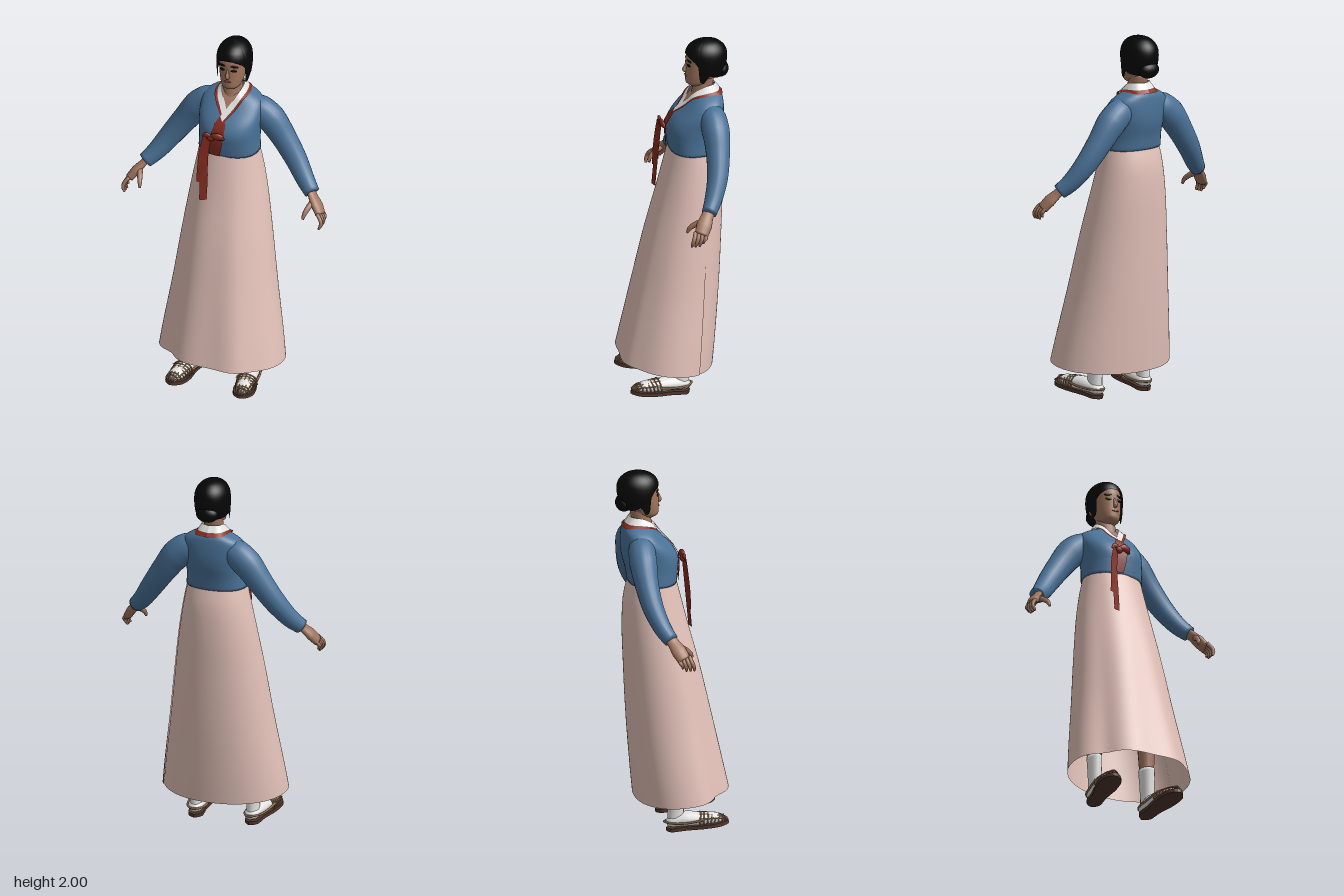
import * as THREE from 'three';

const V = (x, y, z) => new THREE.Vector3(x, y, z);
const mat = (name, color, side = THREE.FrontSide) => {
  const m = new THREE.MeshStandardMaterial({ color, side });
  m.name = name;
  return m;
};

export function createModel() {
  const two = THREE.DoubleSide;
  const blue = mat('blue cloth', 0x4a7298, two), pink = mat('pink cloth', 0xe2c1b8, two);
  const red = mat('red ribbon', 0x852b1f, two), white = mat('white cloth', 0xe2e2e1, two);
  const black = mat('black hair', 0x060606, two), skin = mat('skin', 0xa0755e);
  const sole = mat('sole brown', 0x4f362c), straw = mat('straw', 0x97704f), lip = mat('lips', 0x8d584a);
  const model = new THREE.Group();

  const add = (name, geo, material, parent = model) => {
    const mesh = new THREE.Mesh(geo, material);
    mesh.name = name;
    parent.add(mesh);
    return mesh;
  };

  // Skin a list of point rows; closed rows wrap around and can be capped
  const loft = (rows, closed = true, capped = false) => {
    const n = rows[0].length, pts = rows.flat(), idx = [];
    for (let i = 0; i < rows.length - 1; i++)
      for (let j = 0; j < (closed ? n : n - 1); j++) {
        const a = i * n + j, b = i * n + (j + 1) % n;
        idx.push(a, b, a + n, b, b + n, a + n);
      }
    if (capped) [0, rows.length - 1].forEach((r, end) => {
      const c = pts.length;
      pts.push(rows[r].reduce((s, p) => s.add(p), V(0, 0, 0)).divideScalar(n));
      for (let j = 0; j < n; j++) {
        const a = r * n + j, b = r * n + (j + 1) % n;
        idx.push(...(end ? [a, b, c] : [b, a, c]));
      }
    });
    const g = new THREE.BufferGeometry().setFromPoints(pts);
    g.setIndex(idx);
    g.computeVertexNormals();
    return g;
  };

  // Body profile: rows of [y, half width, front z, back z]
  const profile = (rows, p = 1) => {
    const spline = new THREE.CubicInterpolant(rows.map(r => r[0]), rows.flatMap(r => r.slice(1)), 3);
    const pw = v => Math.sign(v) * Math.abs(v) ** p;
    const at = (y, a, k = 1) => {
      const [w, f, b] = spline.evaluate(y);
      return V(w * k * pw(Math.sin(a)), y, (f + b) / 2 + k * (f - b) / 2 * pw(Math.cos(a)));
    };
    const front = (x, y, lift = 0) => {
      const [w, f, b] = spline.evaluate(y);
      const s = Math.max(0, 1 - (Math.abs(x) / w) ** (2 / p));
      return V(x, y, (f + b) / 2 + (f - b) / 2 * s ** (p / 2) + lift);
    };
    const y0 = rows[0][0], y1 = rows[rows.length - 1][0];
    const solid = (n = 24, seg = 40) => loft(Array.from({ length: n + 1 }, (_, i) =>
      Array.from({ length: seg }, (_, j) => at(y0 + (y1 - y0) * i / n, j / seg * Math.PI * 2))), true, true);
    return { at, front, solid };
  };

  // Tapered limb through [x, y, z, radius] points, squashed by sx and sb
  const limb = (points, sx = 1, sb = 1, seg = 16, steps = 5) => {
    const curve = new THREE.CatmullRomCurve3(points.map(p => V(p[0], p[1], p[2])));
    const last = points.length - 1, n = last * steps;
    const dir = V(...points[last]).sub(V(...points[0])).normalize();
    const ref = Math.abs(dir.z) > 0.8 ? V(0, 1, 0) : V(0, 0, 1);
    return loft(Array.from({ length: n + 1 }, (_, i) => {
      const c = curve.getPoint(i / n), T = curve.getTangent(i / n);
      const S = ref.clone().cross(T).normalize(), B = S.clone().cross(T);
      const k = Math.min(Math.floor(i / steps), last - 1);
      const r = THREE.MathUtils.lerp(points[k][3], points[k + 1][3], i / steps - k);
      return Array.from({ length: seg }, (_, j) => {
        const a = j / seg * Math.PI * 2;
        return c.clone().addScaledVector(S, Math.sin(a) * r * sx).addScaledVector(B, Math.cos(a) * r * sb);
      });
    }), true, true);
  };
  const tube = (pts, r) => new THREE.TubeGeometry(new THREE.CatmullRomCurve3(pts.map(p => V(...p))), 20, r, 6);

  // Jacket body
  const torso = profile([[1.38, .167, .01, -.25], [1.45, .163, .018, -.262], [1.52, .166, .018, -.28],
    [1.57, .172, -.01, -.285], [1.62, .172, -.058, -.284], [1.655, .16, -.092, -.281], [1.685, .12, -.118, -.276],
    [1.71, .065, -.14, -.26]], .85);
  add('jacket', torso.solid(), blue);

  // Wrapped skirt: the front panel laps over the back one at the left side
  const skirt = profile([[.15, .354, .31, -.218], [.3, .333, .276, -.232], [.6, .285, .207, -.255],
    [.9, .243, .136, -.27], [1.15, .205, .068, -.277], [1.3, .178, .03, -.268], [1.4, .158, .004, -.243]], .95);
  const bump = (a, c, w) => Math.exp(-(((a - c) / w) ** 2));
  const skirtRows = [];
  for (let i = 0; i <= 30; i++) {
    const t = 1 - i / 30, row = [];
    for (let j = 0; j <= 90; j++) {
      const a = 1.87 + .19 * t - (Math.PI * 2 + .14) * (1 - j / 90);
      const fold = 1 + .022 * j / 90 + t * (.07 * bump(a, .42, .24) - .025 * bump(a, 0, .2) - .11 * bump(a, -.85, .28) - .02);
      const y = THREE.MathUtils.lerp(1.4, .187 + .028 * Math.cos(a), t);
      const p = skirt.at(y, a, fold);
      p.x += .013 * t;
      row.push(p);
    }
    skirtRows.push(row);
  }
  add('skirt', loft(skirtRows, false), pink);

  // Neck and head
  add('neck', limb([[0, 1.64, -.145, .045], [0, 1.7, -.17, .052], [0, 1.8, -.19, .052]]), skin);
  add('throat', loft([[1.635, .018], [1.66, .03], [1.685, .045], [1.705, .055]].map(([y, w]) =>
    [-1, -.5, 0, .5, 1].map(t => torso.front(t * w, y, .005))), false), skin);
  const head = profile([[1.735, .025, -.11, -.17], [1.75, .046, -.088, -.2], [1.78, .06, -.083, -.235],
    [1.82, .069, -.084, -.26], [1.87, .074, -.085, -.28], [1.92, .075, -.09, -.285], [1.96, .058, -.12, -.27],
    [1.98, .03, -.15, -.23]], .95);
  add('head', head.solid(), skin);
  add('nose', limb([[0, 1.872, -.09, .005], [0, 1.848, -.081, .008], [0, 1.828, -.077, .012], [0, 1.818, -.088, .008]]), skin);
  const faceSpot = (name, x, y, w, h, tilt, m) => {
    const s = add(name, new THREE.SphereGeometry(1, 14, 8), m);
    s.scale.set(w, h, .004);
    s.position.copy(head.front(x, y, .001));
    s.rotation.set(0, x * 11, tilt);
  };
  for (const s of [-1, 1]) {
    faceSpot('eyebrow', s * .036, 1.889, .023, .0065, -s * .12, black);
    faceSpot('eye', s * .033, 1.864, .017, .0075, 0, black);
    const ear = add('ear', new THREE.SphereGeometry(1, 12, 8), skin);
    ear.scale.set(.012, .03, .018);
    ear.position.set(s * .076, 1.825, -.2);
  }
  faceSpot('mouth', 0, 1.797, .022, .005, 0, lip);

  // Hair cap with a shaped hairline and side locks, and a low bun
  const hairShape = profile([[1.76, .082, -.09, -.265], [1.8, .09, -.088, -.285], [1.85, .095, -.084, -.302],
    [1.9, .095, -.08, -.31], [1.94, .087, -.088, -.303], [1.97, .067, -.11, -.28], [1.99, .037, -.148, -.245],
    [2.0, 0, -.195, -.195]]);
  const line = [[0, 1.922], [.3, 1.92], [.6, 1.908], [.85, 1.892], [1.02, 1.868], [1.12, 1.782], [1.4, 1.768], [1.6, 1.815], [2, 1.8], [3.15, 1.785]];
  const hairline = a => {
    const k = line.findIndex(l => l[0] > a), [a0, y0] = line[k - 1], [a1, y1] = line[k];
    return y0 + (y1 - y0) * (a - a0) / (a1 - a0);
  };
  const hairRows = [];
  for (let i = 0; i <= 18; i++)
    hairRows.push(Array.from({ length: 80 }, (_, j) => {
      const a = (j / 80 - .5) * Math.PI * 2, low = hairline(Math.abs(a));
      return hairShape.at(THREE.MathUtils.lerp(low, 2, 1 - (1 - i / 18) ** 2), a);
    }));
  add('hair', loft(hairRows), black);
  const bun = add('hairBun', new THREE.SphereGeometry(.045, 24, 16), black);
  bun.scale.set(1.4, 1.05, 1);
  bun.position.set(0, 1.822, -.272);

  // Crossed collar: white band with red edging, the left side lapping over
  for (const s of [-1, 1]) {
    const over = s > 0 ? .013 : .009;
    const chest = pts => pts.map(([x, y]) => torso.front(x * s, y, over));
    const ends = s > 0 ? [[-.022, 1.605], [-.004, 1.585], [.003, 1.58]] : [[-.004, 1.63], [.014, 1.608], [.02, 1.602]];
    const edges = [
      [V(0, 1.745, -.243), V(s * .045, 1.747, -.228), V(s * .06, 1.742, -.18), V(s * .046, 1.71, -.122), ...chest([[.016, 1.66], ends[0]])],
      [V(0, 1.712, -.268), V(s * .062, 1.712, -.245), V(s * .08, 1.708, -.18), V(s * .069, 1.69, -.113), ...chest([[.04, 1.642], ends[1]])],
      [V(0, 1.692, -.283), V(s * .07, 1.694, -.265), V(s * .095, 1.698, -.18), V(s * .081, 1.683, -.105), ...chest([[.05, 1.634], ends[2]])],
    ].map(e => new THREE.CatmullRomCurve3(e).getPoints(24));
    add('whiteCollar', loft([edges[0], edges[1]], false), white);
    add('redCollarEdge', loft([edges[1], edges[2]], false), red);
  }

  // Red front panel, bow and hanging ribbons
  const panel = [[1.385, -.066, -.008], [1.45, -.064, .006], [1.52, -.056, .016], [1.57, -.045, .018], [1.605, -.024, -.004]];
  add('frontPanel', loft(panel.map(([y, a, b]) => [0, .5, 1].map(t => torso.front(a + (b - a) * t, y, .009))), false), red);
  add('bowKnot', new THREE.SphereGeometry(.02, 12, 8).scale(1.2, 1, .8).translate(-.05, 1.505, .04), red);
  add('bowLoop', limb([[-.05, 1.508, .042, .012], [-.02, 1.522, .045, .02], [.005, 1.515, .04, .02], [.02, 1.5, .03, .006]], 1, .6), red);
  add('bowEnd', limb([[-.05, 1.508, .042, .014], [-.075, 1.522, .045, .016], [-.095, 1.505, .045, .006]], 1, .6), red);
  const ribbon = (name, pts, w) => add(name, loft([-w, w].map(d =>
    new THREE.CatmullRomCurve3(pts.map(([x, y, z]) => V(x + d, y, z - d * .3))).getPoints(16)), false), red);
  ribbon('longRibbon', [[-.068, 1.51, .042], [-.082, 1.4, .05], [-.082, 1.25, .064], [-.081, 1.13, .075]], .02);
  ribbon('shortRibbon', [[-.075, 1.51, .048], [-.094, 1.42, .057], [-.1, 1.33, .065], [-.104, 1.235, .068]], .016);

  // Arms, hands, legs and sandals for each side
  for (const s of [1, -1]) {
    const side = new THREE.Group();
    side.name = s > 0 ? 'leftLimbs' : 'rightLimbs';
    side.scale.x = s;
    model.add(side);
    add('sleeve', limb([[.08, 1.605, -.195, .066], [.145, 1.588, -.2, .079], [.205, 1.54, -.203, .081], [.275, 1.448, -.198, .07],
      [.355, 1.335, -.177, .061], [.425, 1.24, -.137, .051], [.475, 1.19, -.103, .043]], 1, .92, 20), blue, side);
    add('palm', limb([[.465, 1.2, -.108, .032], [.485, 1.175, -.09, .034], [.515, 1.14, -.068, .042], [.544, 1.1, -.045, .037]], .6, 1), skin, side);
    for (let k = 0; k < 4; k++) {
      const z = -.074 + .019 * k, d = k === 0 ? .015 : 0;
      add('finger', limb([[.535, 1.118, z, .011], [.56, 1.085, z + .008 + .002 * k, .011],
        [.562, 1.062 + d, z + .016 + .002 * k, .01], [.552, 1.04 + d, z + .02 + .002 * k, .006]], 1, 1, 8, 3), skin, side);
    }
    add('thumb', limb([[.495, 1.16, -.07, .018], [.478, 1.135, -.025, .015], [.468, 1.11, .003, .012], [.464, 1.086, .014, .007]], 1, 1, 8, 3), skin, side);

    const foot = new THREE.Group();
    foot.name = 'foot';
    foot.position.set(.165, 0, -.01);
    foot.rotation.y = .13;
    side.add(foot);
    add('leg', limb([[0, .25, -.015, .038], [0, .45, -.02, .05], [0, .8, -.04, .06]]), skin, foot);
    add('sockAnkle', limb([[0, .04, -.01, .038], [0, .12, -.01, .038], [0, .2, -.012, .041], [0, .28, -.015, .045]], .9, 1.15), white, foot);
    const sandal = new THREE.Group();
    sandal.name = 'sandal';
    sandal.rotation.x = -.125;
    sandal.position.y = .012;
    foot.add(sandal);
    add('sockFoot', limb([[0, .044, -.052, .022], [0, .05, -.025, .041], [0, .055, .05, .05], [0, .044, .13, .046], [0, .034, .21, .041], [0, .026, .255, .015]], 1, .8), white, sandal);
    const outline = new THREE.Shape(new THREE.SplineCurve([[0, -.06], [.038, -.03], [.042, .05], [.058, .15], [.05, .235], [0, .278],
      [-.05, .235], [-.058, .15], [-.042, .05], [-.038, -.03], [0, -.06]].map(p => new THREE.Vector2(...p))).getPoints(40));
    const soleGeo = new THREE.ExtrudeGeometry(outline, { depth: .02, bevelEnabled: false }).rotateX(Math.PI / 2).translate(0, .02, 0);
    add('sole', soleGeo, sole, sandal);
    // Woven toe cover, and a strap around the heel
    for (let k = 0; k < 7; k++) {
      const z = .13 + k * .02, w = .057 - .0008 * k * k, h = .081 - .0052 * k;
      add('wovenBand', tube([[-w, .02, z - .01], [-w * .75, h * .8, z], [0, h, z + .004], [w * .75, h * .8, z], [w, .02, z - .01]], .004), straw, sandal);
    }
    for (const x of [-.8, -.4, 0, .4, .8])
      add('wovenCord', tube([[x * .05, .082 - .04 * x * x, .125], [x * .05, .07 - .032 * x * x, .18], [x * .04, .05 - .015 * x * x, .24], [x * .025, .022, .272]], .004), straw, sandal);
    add('heelStrap', tube([[-.056, .05, .14], [-.054, .045, .06], [-.043, .05, -.02], [0, .056, -.066], [.043, .05, -.02], [.054, .045, .06], [.056, .05, .14]], .006), straw, sandal);
  }
  return model;
}
